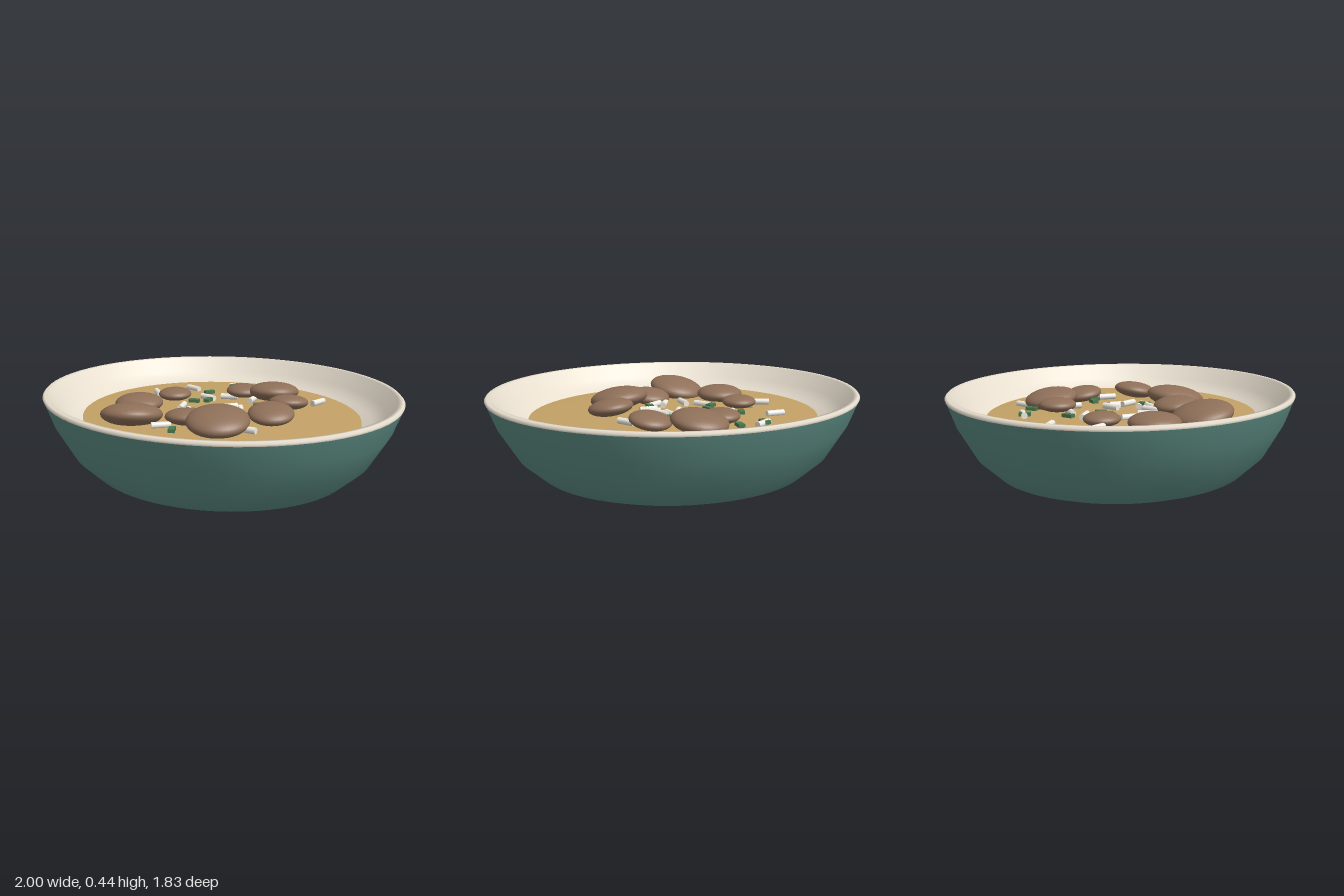
import * as THREE from 'three';

const SOUP_Y = 0.31;
const mat = (color) => new THREE.MeshStandardMaterial({ color });

const glaze = mat(0x5f8f86);
const cream = mat(0xe8dfcf);
const clay = mat(0xd8c9b8);
const broth = mat(0xc4a266);
const meat = mat(0x8f7059);
const grain = mat(0xf0ece2);
const herb = mat(0x4a7a50);

function add(parent, name, geometry, material) {
  const mesh = new THREE.Mesh(geometry, material);
  mesh.name = name;
  parent.add(mesh);
  return mesh;
}

// Surface of revolution from [radius, height] pairs
function lathe(parent, name, profile, material) {
  const points = profile.map(([r, y]) => new THREE.Vector2(r, y));
  return add(parent, name, new THREE.LatheGeometry(points, 72), material);
}

// Lays a piece flat on the soup, its long x axis along (dx, dz)
function lay(mesh, [x, z, dx, dz], y) {
  mesh.position.set(x, y, z);
  mesh.rotation.y = Math.atan2(-dz, dx);
}

export function createModel() {
  const model = new THREE.Group();
  model.name = 'bowlOfStew';

  // Slightly oval bowl: glazed outside, cream lining and rim, bare foot
  const bowl = new THREE.Group();
  bowl.name = 'bowl';
  bowl.scale.z = 0.917;
  model.add(bowl);
  lathe(bowl, 'outerWall',
    [[0.66, 0], [0.74, 0.03], [0.85, 0.13], [0.95, 0.3], [0.996, 0.425]], glaze);
  lathe(bowl, 'rimAndLining',
    [[0.996, 0.422], [1, 0.432], [0.99, 0.443], [0.965, 0.44], [0.91, 0.36],
      [0.84, 0.31], [0.76, 0.28], [0.6, 0.2], [0, 0.15]], cream);
  lathe(bowl, 'footRing', [[0.59, 0.03], [0.59, 0], [0.662, 0]], clay);
  lathe(bowl, 'base', [[0, 0.028], [0.595, 0.028]], glaze);
  lathe(bowl, 'soup', [[0.785, 0.27], [0.785, SOUP_Y], [0, SOUP_Y]], broth);

  // Flattened meatballs: x, z, radius, lift above the soup, tilt in degrees
  const meatballs = [
    [0, -0.42, 0.147, 0.05, -8], [-0.15, -0.32, 0.1, 0.045, 0],
    [0.22, -0.31, 0.11, 0.045, -9], [0.36, -0.03 + 0.0, 0.12, 0.06, 9],
    [-0.385, 0.01, 0.095, 0.035, 0], [-0.37, 0.275, 0.133, 0.03, 0],
    [-0.16, 0.47, 0.162, 0.04, -12], [0.065, 0.28, 0.117, 0.04, -7],
    [0.255, 0.24, 0.162, 0.05, 9],
  ];
  const ball = new THREE.SphereGeometry(1, 32, 20);
  const tiltAxis = new THREE.Vector3(1, 0, -1).normalize();
  for (const [x, z, r, lift, tilt] of meatballs) {
    const mesh = add(model, 'meatball', ball, meat);
    mesh.position.set(x, SOUP_Y + lift, z);
    mesh.scale.set(r, r * 0.38, r);
    mesh.quaternion.setFromAxisAngle(tiltAxis, THREE.MathUtils.degToRad(tilt));
  }

  // Pale grain sticks: x, z, direction
  const grains = [
    [-0.04, -0.57, -0.4, 0.9], [0.255, -0.52, 0.05, 1], [-0.33, -0.44, 0.8, -0.5],
    [-0.5, -0.225, 1, -0.05], [-0.25, -0.13, 1, -0.08], [-0.525, 0.03, 0.9, 0.4],
    [-0.2, 0.105, 0.6, 0.8], [-0.105, 0.17, 0.1, 1], [0, -0.065, -0.4, 0.9],
    [0.045, -0.075, 0.2, 1], [0.095, -0.055, 0.6, 0.8], [0.13, -0.005, 0.9, 0.4],
    [0.13, 0.065, 1, -0.1], [0.01, 0.16, -0.4, 0.9], [0.075, 0.135, 0.8, -0.6],
    [0.025, 0.42, -0.5, 0.9], [0.315, -0.19, 0.6, 0.8], [0.39, 0.17, 0.9, -0.3],
    [-0.41, 0, 0.9, 0.3], [-0.18, -0.235, 0.8, -0.6], [-0.03, -0.28, 0.4, 0.9],
  ];
  const stick = new THREE.CylinderGeometry(0.017, 0.017, 0.1, 10).rotateZ(Math.PI / 2);
  grains.forEach((g, i) =>
    lay(add(model, 'grain', stick, grain), g, SOUP_Y + 0.012 + 0.004 * (i % 3)));

  // Chopped herbs: x, z, direction
  const herbs = [
    [-0.345, -0.425, 0.3, 1], [-0.2, -0.45, 0, 1], [-0.315, -0.195, -0.3, 1],
    [-0.175, -0.065, 0.4, 0.9], [-0.215, 0.005, 0.8, -0.6], [0.1, -0.2, 0.8, -0.7],
    [0.165, -0.22, 0.7, 0.7], [0.115, 0.095, 0, 1], [0.16, 0.455, 0.7, 0.7],
  ];
  const chop = new THREE.BoxGeometry(0.06, 0.018, 0.033);
  herbs.forEach((h) => lay(add(model, 'herb', chop, herb), h, SOUP_Y + 0.025));

  return model;
}
